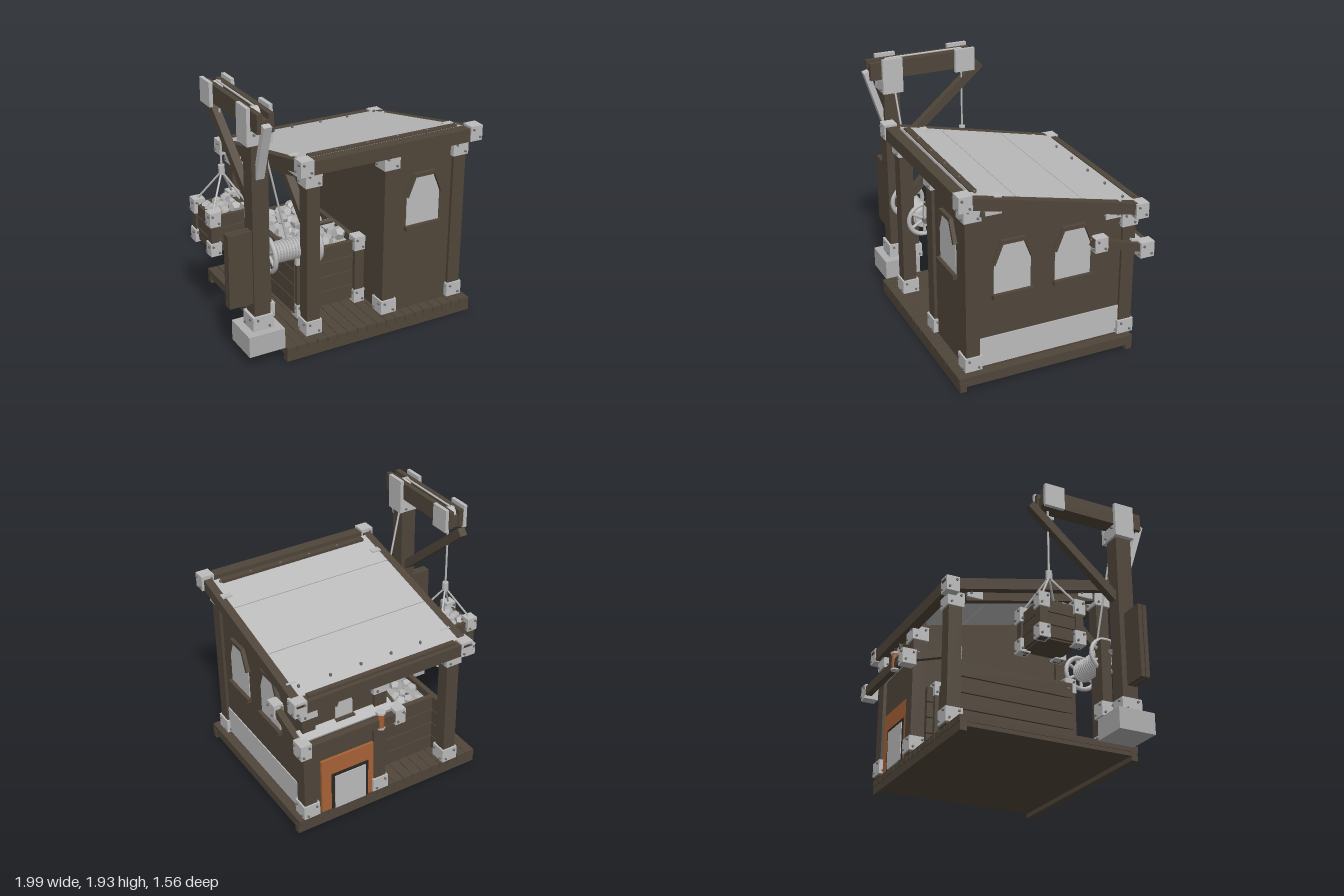
import * as THREE from 'three';

const mat = (name, color, extra = {}) => Object.assign(new THREE.MeshStandardMaterial({ color, ...extra }), { name });

export function createModel() {
  const root = new THREE.Group();
  root.name = 'workshopWithCrane';
  const wood = mat('wood', 0x50463a), steel = mat('lightGrey', 0xbcbcbc);
  const bolt = mat('boltGrey', 0x707070), brick = mat('brick', 0xa86236);
  const stone = mat('stone', 0xb0b0b0, { flatShading: true }), black = mat('soot', 0x2a2723);

  const add = (name, geo, m, parent = root) => {
    const mesh = new THREE.Mesh(geo, m);
    mesh.name = name;
    parent.add(mesh);
    return mesh;
  };
  // box given by its limits on each axis
  const box = (name, m, x0, x1, y0, y1, z0, z1, parent) => {
    const b = add(name, new THREE.BoxGeometry(x1 - x0, y1 - y0, z1 - z0), m, parent);
    b.position.set((x0 + x1) / 2, (y0 + y1) / 2, (z0 + z1) / 2);
    return b;
  };
  // bar of square section or round rod between two points
  const align = (mesh, a, b) => {
    mesh.position.copy(a).add(b).multiplyScalar(0.5);
    mesh.quaternion.setFromUnitVectors(new THREE.Vector3(0, 1, 0), b.clone().sub(a).normalize());
    return mesh;
  };
  const V = (x, y, z) => new THREE.Vector3(x, y, z);
  const bar = (name, m, a, b, w, d) => align(add(name, new THREE.BoxGeometry(w, a.distanceTo(b), d), m), a, b);
  const rod = (name, m, a, b, r, n = 8) => align(add(name, new THREE.CylinderGeometry(r, r, a.distanceTo(b), n), m), a, b);
  // metal corner bracket with bolts passing through it
  const bracket = (x, y, z, w = 0.13, h = 0.11, d = w) => {
    const g = new THREE.Group();
    g.name = 'cornerBracket';
    g.position.set(x, y, z);
    root.add(g);
    add('bracketPlate', new THREE.BoxGeometry(w, h, d), steel, g);
    for (const s of [-1, 1]) {
      const a = add('bolt', new THREE.CylinderGeometry(0.009, 0.009, w + 0.024, 6), bolt, g);
      a.rotation.z = Math.PI / 2;
      a.position.set(0, s * h * 0.27, s * d * 0.28);
      const b = add('bolt', new THREE.CylinderGeometry(0.009, 0.009, d + 0.024, 6), bolt, g);
      b.rotation.x = Math.PI / 2;
      b.position.set(s * w * 0.28, -s * h * 0.27, 0);
    }
  };
  let seed = 7;
  const rnd = () => (seed = (seed * 16807) % 2147483647) / 2147483647;
  const pile = (x0, x1, z0, z1, y, step) => {
    for (let x = x0; x <= x1; x += step) for (let z = z0; z <= z1; z += step) {
      const s = add('stone', new THREE.DodecahedronGeometry(step * (0.5 + rnd() * 0.2), 0), stone);
      s.position.set(x + (rnd() - 0.5) * 0.03, y + rnd() * 0.05, z + (rnd() - 0.5) * 0.03);
      s.rotation.set(rnd() * 3, rnd() * 3, rnd() * 3);
    }
  };

  // deck
  for (let i = 0; i < 19; i++) {
    const x = -0.61 + i * 0.0826;
    box('deckPlank', wood, x, x + 0.078, 0.065, 0.11, -0.645, 0.745);
  }
  box('deckUnderlay', wood, -0.605, 0.955, 0.035, 0.07, -0.64, 0.74);
  for (const z of [-0.64, 0.69]) box('deckBeam', wood, -0.61, 0.96, 0, 0.07, z, z + 0.05);

  // posts and their brackets
  const roofY = z => 1.34 + 0.23 * z;
  for (const x of [-0.36, 0.27, 0.855]) for (const z of [0.617, -0.6]) {
    const top = roofY(z) - 0.04;
    box('post', wood, x - 0.052, x + 0.052, 0.11, top, z - 0.052, z + 0.052);
    bracket(x, 0.18, z);
    bracket(x, z > 0 ? 1.34 : 1.06, z);
  }

  // walls, the side ones sloping with the roof
  const sideWall = (name, x, y0) => {
    const s = new THREE.Shape([[0.57, y0], [-0.56, y0], [-0.56, roofY(-0.56) - 0.06], [0.57, roofY(0.57) - 0.06]].map(p => new THREE.Vector2(-p[0], p[1])));
    const w = add(name, new THREE.ExtrudeGeometry(s, { depth: 0.05, bevelEnabled: false }), wood);
    w.rotation.y = Math.PI / 2;
    w.position.x = x;
  };
  sideWall('rightWall', 0.835, 0.11);
  sideWall('innerWall', 0.245, 0.11);
  box('plinth', steel, 0.83, 0.893, 0.13, 0.355, -0.55, 0.565);
  box('frontWall', wood, 0.3, 0.85, 0.11, 1.42, 0.59, 0.645);
  box('backWall', wood, 0.3, 0.85, 0.11, 1.15, -0.625, -0.575);
  bar('wallBrace', wood, V(0.882, 0.8, 0.56), V(0.882, 1.26, 0.2), 0.015, 0.07);

  // arched windows
  const poly = pts => new THREE.Shape(pts.map(p => new THREE.Vector2(...p)));
  const windowAt = (x, y, z, ry, k = 1) => {
    const g = new THREE.Group();
    g.name = 'window';
    g.position.set(x, y, z);
    g.rotation.y = ry;
    g.scale.set(k, k, 1);
    root.add(g);
    const pane = poly([[-0.14, 0], [0.14, 0], [0.14, 0.23], [0.08, 0.38], [-0.08, 0.38], [-0.14, 0.23]]);
    add('pane', new THREE.ExtrudeGeometry(pane, { depth: 0.062, bevelEnabled: false }), steel, g).position.z = -0.056;
    const arch = poly([[0.14, 0.23], [0.165, 0.245], [0.09, 0.408], [-0.09, 0.408], [-0.165, 0.245], [-0.14, 0.23], [-0.08, 0.38], [0.08, 0.38]]);
    add('windowArch', new THREE.ExtrudeGeometry(arch, { depth: 0.03, bevelEnabled: false }), wood, g);
    box('windowSill', wood, -0.155, 0.155, -0.035, 0, -0.01, 0.035, g);
  };
  windowAt(0.56, 0.8, 0.645, 0);
  windowAt(0.885, 0.69, 0.31, Math.PI / 2);
  windowAt(0.885, 0.69, -0.16, Math.PI / 2);
  windowAt(0.56, 0.9, -0.625, Math.PI, 0.5);

  // fireplace in the back wall
  box('brickSurround', brick, 0.32, 0.76, 0.11, 0.57, -0.645, -0.6);
  box('sootFrame', black, 0.37, 0.68, 0.11, 0.43, -0.65, -0.6);
  box('fireDoor', steel, 0.395, 0.655, 0.11, 0.405, -0.656, -0.6);

  // roof: frame, sheets, cover strips, bolts
  box('frontRoofBeam', wood, -0.45, 0.95, 1.4, 1.5, 0.65, 0.735);
  box('backRoofBeam', wood, -0.45, 0.95, 1.09, 1.185, -0.7, -0.62);
  for (const x of [-0.44, 0.94]) {
    bar('sideRoofBeam', wood, V(x, roofY(-0.7) - 0.043, -0.7), V(x, roofY(0.72) - 0.043, 0.72), 0.065, 0.085);
    bracket(x + (x > 0 ? 0 : -0.005), 1.46, 0.695, 0.1, 0.115);
    bracket(x, 1.14, -0.655, 0.1, 0.115);
    const xi = x > 0 ? 0.9 : -0.385;
    bar('innerRafter', wood, V(xi, roofY(-0.52) - 0.11, -0.52), V(xi, roofY(0.56) - 0.11, 0.56), 0.05, 0.08);
    bracket(xi, 1.385, 0.47, 0.075, 0.125, 0.12);
    bracket(xi, 1.165, -0.45, 0.075, 0.125, 0.12);
  }
  for (const [z0, z1] of [[-0.63, -0.203], [-0.197, 0.297], [0.303, 0.62]])
    bar('roofSheet', steel, V(0.25, roofY(z0) - 0.008, z0), V(0.25, roofY(z1) - 0.008, z1), 1.32, 0.02);
  box('frontCoverStrip', wood, -0.36, 0.86, 1.46, 1.492, 0.56, 0.61);
  box('backCoverStrip', wood, -0.36, 0.86, 1.16, 1.205, -0.67, -0.63);
  for (const z of [-0.555, 0.58]) for (let i = 0; i < 5; i++)
    rod('roofBolt', bolt, V(-0.13 + i * 0.25, roofY(z), z), V(-0.13 + i * 0.25, roofY(z) + 0.02, z), 0.01, 6);

  // small awning behind, with lantern
  for (const x of [0.175, 0.945]) {
    bar('awningArm', wood, V(x, 0.955, -0.28), V(x, 0.815, -0.74), 0.05, 0.06);
    bracket(x, 0.935, -0.34, 0.075, 0.11, 0.1);
    bracket(x, 0.82, -0.715, 0.085, 0.12, 0.11);
  }
  box('awningBeam', wood, 0.15, 0.97, 0.785, 0.855, -0.765, -0.715);
  bar('awningSheet', steel, V(0.56, 0.895, -0.61), V(0.56, 0.866, -0.71), 0.75, 0.015);
  rod('lanternBody', brick, V(0.33, 0.78, -0.75), V(0.33, 0.9, -0.75), 0.027, 6);
  rod('lanternCap', steel, V(0.33, 0.9, -0.75), V(0.33, 0.915, -0.75), 0.038, 6);
  rod('lanternFoot', steel, V(0.33, 0.77, -0.75), V(0.33, 0.782, -0.75), 0.033, 6);

  // stone bin under the roof
  for (let i = 0; i < 4; i++) {
    const y = 0.14 + i * 0.122, t = y + 0.114;
    for (const z of [-0.47, 0.33]) box('binPlank', wood, -0.34, 0.2, y, t, z, z + 0.04);
    for (const x of [-0.36, 0.17]) box('binPlank', wood, x, x + 0.04, y, t, -0.55, 0.37);
  }
  for (const [x, z] of [[0.18, -0.46], [0.18, 0.36], [-0.31, 0.36]]) {
    box('binPost', wood, x - 0.04, x + 0.04, 0.11, 0.64, z - 0.04, z + 0.04);
    bracket(x, 0.165, z, 0.09);
    bracket(x, 0.605, z, 0.09);
  }
  box('binFill', stone, -0.33, 0.18, 0.3, 0.56, -0.44, 0.34);
  pile(-0.25, 0.13, -0.38, 0.3, 0.58, 0.085);
  bar('kneeBrace', wood, V(-0.36, 0.95, 0.57), V(-0.36, 1.3, 0.22), 0.06, 0.06);

  // crane: foundation, posts, jib
  box('foundation', stone, -0.89, -0.61, 0.1, 0.26, 0.42, 0.71);
  box('cranePost', wood, -0.81, -0.685, 0.26, 1.78, 0.51, 0.635);
  bracket(-0.75, 0.315, 0.572, 0.16);
  box('winchPost', wood, -0.69, -0.61, 0.26, 0.85, 0.42, 0.5);
  bracket(-0.645, 0.315, 0.46, 0.11);
  bracket(-0.75, 1.71, 0.57, 0.155, 0.1);
  for (const x of [-0.81, -0.725]) box('jibRail', wood, x, x + 0.04, 1.77, 1.905, -0.1, 0.735);
  box('jibCore', wood, -0.78, -0.72, 1.77, 1.86, -0.09, 0.73);
  for (const x of [-0.845, -0.68]) for (const [z0, z1, y0] of [[0.49, 0.65, 1.66], [-0.1, 0.06, 1.75]])
    box('jibPlate', steel, x, x + 0.028, y0, 1.93, z0, z1);
  bar('jibBrace', wood, V(-0.75, 1.77, -0.18), V(-0.75, 1.17, 0.52), 0.06, 0.065);
  bar('tailStrut', steel, V(-0.75, 1.83, 0.755), V(-0.75, 1.42, 0.625), 0.06, 0.045);
  for (const z of [0.57, -0.02]) rod('pulley', steel, V(-0.775, 1.86, z), V(-0.725, 1.86, z), 0.05, 16);
  for (const [z0, z1] of [[0.55, 0.582], [0.588, 0.62]]) box('counterBoard', wood, -0.99, -0.81, 0.47, 1.03, z0, z1);

  // winch
  const wy = 0.76, wz = 0.5;
  rod('winchShaft', bolt, V(-0.7, wy, wz), V(-0.22, wy, wz), 0.025, 12);
  rod('winchDrum', steel, V(-0.62, wy, wz), V(-0.27, wy, wz), 0.07, 20);
  for (let i = 0; i < 14; i++) {
    const t = add('ropeTurn', new THREE.TorusGeometry(0.07, 0.011, 6, 20), steel);
    t.rotation.y = Math.PI / 2;
    t.position.set(-0.6 + i * 0.0235, wy, wz);
  }
  for (const x of [-0.63, -0.27]) {
    const rim = add('winchRim', new THREE.TorusGeometry(0.125, 0.018, 6, 24), steel);
    rim.rotation.y = Math.PI / 2;
    rim.position.set(x, wy, wz);
    for (let k = 0; k < 3; k++) {
      const c = Math.cos(k * Math.PI / 3) * 0.125, s = Math.sin(k * Math.PI / 3) * 0.125;
      rod('winchSpoke', steel, V(x, wy + c, wz + s), V(x, wy - c, wz - s), 0.013, 6);
    }
  }
  bar('crankArm', steel, V(-0.235, 0.73, wz), V(-0.235, 0.92, wz), 0.018, 0.035);
  rod('crankHandle', wood, V(-0.245, 0.905, wz), V(-0.115, 0.905, wz), 0.017, 8);

  // ropes and hook
  rod('winchRope', steel, V(-0.48, 0.83, 0.5), V(-0.7, 1.72, 0.55), 0.008);
  rod('jibRope', steel, V(-0.75, 1.91, 0.57), V(-0.75, 1.91, -0.02), 0.008);
  rod('liftRope', steel, V(-0.735, 1.86, -0.022), V(-0.735, 1.22, -0.022), 0.008);
  rod('hookBlock', steel, V(-0.735, 1.27, -0.022), V(-0.735, 1.2, -0.022), 0.025, 8);

  // hanging basket
  for (const sx of [-1, 1]) for (const sz of [-1, 1]) {
    const x = -0.735 + sx * 0.14, z = -0.022 + sz * 0.14;
    box('basketPost', wood, x - 0.03, x + 0.03, 0.65, 0.985, z - 0.03, z + 0.03);
    bracket(x, 0.935, z, 0.085);
    bracket(x, 0.7, z, 0.085, 0.1);
    rod('basketChain', steel, V(-0.735, 1.22, -0.022), V(x, 0.98, z), 0.008, 6);
  }
  for (let i = 0; i < 3; i++) for (const s of [-1, 1]) {
    const y = 0.67 + i * 0.095, z = -0.022 + s * 0.14, x = -0.735 + s * 0.14;
    box('basketPlank', wood, -0.875, -0.595, y, y + 0.088, z - 0.015, z + 0.015);
    box('basketPlank', wood, x - 0.015, x + 0.015, y, y + 0.088, -0.162, 0.118);
  }
  box('basketFloor', wood, -0.87, -0.6, 0.66, 0.69, -0.157, 0.113);
  pile(-0.82, -0.64, -0.11, 0.08, 0.92, 0.075);
  return root;
}
